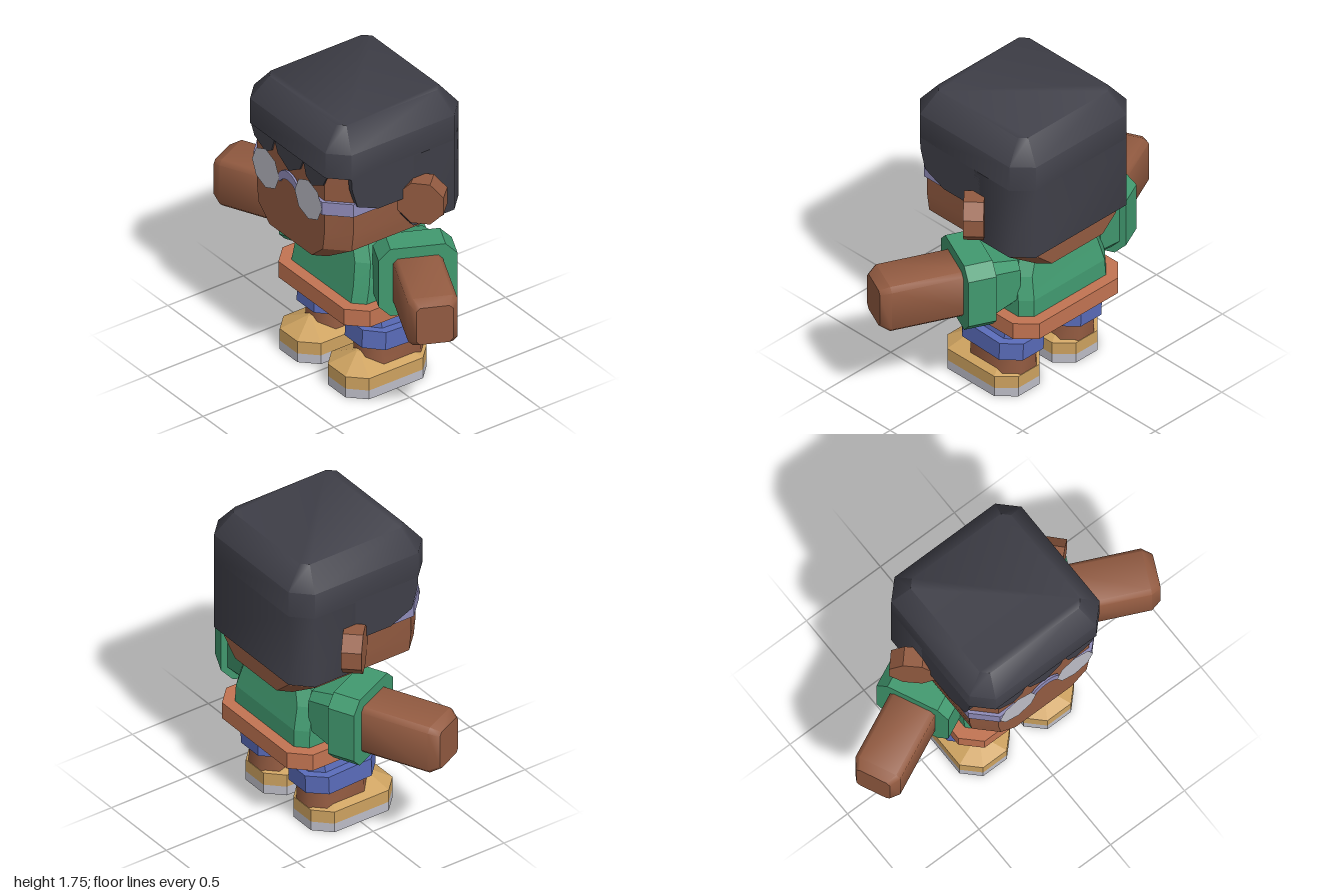
import * as THREE from 'three';
import { toCreasedNormals } from 'three/addons/utils/BufferGeometryUtils.js';

const material = (name, color, side = THREE.FrontSide) => {
  const m = new THREE.MeshStandardMaterial({ color, side });
  m.name = name;
  return m;
};

// Stack of chamfered rectangles: [y, halfWidth, zBack, zFront, chamferBack, chamferFront]
function loft(sections, crease = 0.1) {
  const pos = [], idx = [], n = 8;
  for (const [y, hx, zb, zf, cb, cf = cb] of sections) {
    pos.push(hx, y, zf - cf, hx - cf, y, zf, -hx + cf, y, zf, -hx, y, zf - cf);
    pos.push(-hx, y, zb + cb, -hx + cb, y, zb, hx - cb, y, zb, hx, y, zb + cb);
  }
  for (let s = 0; s < sections.length - 1; s++) {
    for (let i = 0; i < n; i++) {
      const a = s * n + i, a2 = s * n + (i + 1) % n;
      idx.push(a, a + n, a2, a + n, a2 + n, a2);
    }
  }
  const top = (sections.length - 1) * n;
  for (let i = 1; i < n - 1; i++) idx.push(0, i, i + 1, top, top + i + 1, top + i);
  const g = new THREE.BufferGeometry();
  g.setAttribute('position', new THREE.Float32BufferAttribute(pos, 3));
  g.setIndex(idx);
  return toCreasedNormals(g, crease);
}

const shapeOf = pts => new THREE.Shape(pts.map(p => new THREE.Vector2(...p)));
const extrude = (shape, depth) =>
  new THREE.ExtrudeGeometry(shape, { depth, bevelEnabled: false, curveSegments: 6 });

export function createModel() {
  const model = new THREE.Group();
  const skin = material('skin', 0x935b41);
  const hair = material('hair', 0x3f3f48);
  const green = material('green shirt', 0x41996f);
  const orange = material('shirt hem', 0xc27452);
  const blue = material('blue shorts', 0x5a6cba);
  const tan = material('tan shoe', 0xcda260);
  const grey = material('pale grey', 0xbcbcc6, THREE.DoubleSide);
  const lilac = material('lilac frame', 0x8f8bb8);

  const add = (name, geometry, mat, parent = model) => {
    const m = new THREE.Mesh(geometry, mat);
    m.name = name;
    parent.add(m);
    return m;
  };

  // Head
  add('head', loft([
    [0.9, 0.25, -0.41, 0.42, 0.06],
    [0.99, 0.4, -0.41, 0.42, 0.11],
    [1.1, 0.415, -0.41, 0.42, 0.11],
    [1.6, 0.415, -0.41, 0.42, 0.11]], 0.5), skin);

  // Hair: crown, back block, side panels and jagged fringe
  add('hairCrown', loft([
    [1.47, 0.44, -0.44, 0.44, 0.1],
    [1.625, 0.44, -0.44, 0.44, 0.1],
    [1.75, 0.34, -0.34, 0.34, 0.04]], 0.9), hair);
  add('hairBack', loft([
    [1.03, 0.44, -0.44, -0.07, 0.1, 0.001],
    [1.47, 0.44, -0.44, -0.07, 0.1, 0.001]], 0.9), hair);
  const sidePanel = shapeOf([[-0.34, 1.475], [-0.335, 1.4], [-0.3, 1.285], [-0.16, 1.225],
    [0, 1.225], [0, 1.12], [0.07, 1.03], [0.12, 1.03], [0.12, 1.475]]);
  for (const x of [0.41, -0.44]) {
    add('hairSide', extrude(sidePanel, 0.03).rotateY(Math.PI / 2).translate(x, 0, 0), hair);
  }
  const fringe = shapeOf([[-0.345, 1.475], [-0.31, 1.405], [-0.21, 1.355], [-0.155, 1.39],
    [-0.13, 1.47], [-0.1, 1.4], [0, 1.34], [0.1, 1.4], [0.13, 1.47], [0.155, 1.39],
    [0.21, 1.355], [0.31, 1.405], [0.345, 1.475]]);
  add('hairFringe', extrude(fringe, 0.009).translate(0, 0, 0.424), hair);

  // Glasses: bridge arch, then a temple band and lens on each side
  const arch = new THREE.Shape();
  arch.absarc(0, 1.235, 0.098, 0.15, Math.PI - 0.15, false);
  arch.absarc(0, 1.195, 0.085, Math.PI - 0.5, 0.5, true);
  add('glassesBridge', extrude(arch, 0.012).translate(0, 0, 0.427), lilac);
  for (const s of [1, -1]) {
    const band = shapeOf([[0.43, 0], [0.43, 0.32], [0.31, 0.44], [0.2, 0.44],
      [0.2, 0.41], [0.3, 0.41], [0.4, 0.31], [0.4, 0]].map(([x, z]) => [s * x, -z]));
    add('glassesBand', extrude(band, 0.08).rotateX(-Math.PI / 2).translate(0, 1.222, 0), lilac);
    add('lens', new THREE.CircleGeometry(0.122, 8).translate(s * 0.192, 1.262, 0.445), grey);
  }

  // Torso, neckline and hem
  add('torso', loft([
    [0.54, 0.33, -0.355, 0.222, 0.06],
    [0.66, 0.325, -0.35, 0.199, 0.06],
    [0.79, 0.305, -0.315, 0.175, 0.06],
    [0.92, 0.24, -0.285, 0.15, 0.06]]), green);
  const neckline = add('neckline',
    new THREE.ShapeGeometry(shapeOf([[0, 0], [0.165, 0.19], [-0.165, 0.19]])), skin);
  neckline.position.set(0, 0.72, 0.196);
  neckline.rotation.x = -0.187;
  add('hem', loft([[0.46, 0.395, -0.42, 0.285, 0.1], [0.56, 0.395, -0.42, 0.285, 0.1]]), orange);

  for (const s of [1, -1]) {
    // Ear: thick octagon turned outward
    const ear = add('ear', toCreasedNormals(
      new THREE.CylinderGeometry(0.135, 0.135, 0.11, 8, 1, false, Math.PI / 8), 0.1)
      .rotateX(Math.PI / 2), skin);
    ear.position.set(s * 0.473, 1.205, -0.105);
    ear.rotation.y = s * 0.75;

    // Arm: swept forward, built along local x
    const arm = new THREE.Group();
    arm.name = s > 0 ? 'leftArm' : 'rightArm';
    arm.position.set(s * 0.5, 0.755, -0.045);
    arm.rotation.y = s > 0 ? -0.436 : Math.PI + 0.436;
    model.add(arm);
    add('forearm', loft([
      [-0.05, 0.145, -0.135, 0.135, 0.025],
      [0.45, 0.145, -0.135, 0.135, 0.025],
      [0.505, 0.115, -0.1, 0.1, 0.02]], 0.9).rotateZ(-Math.PI / 2), skin, arm);
    add('sleeve', loft([
      [-0.115, 0.21, -0.215, 0.215, 0.065],
      [0.045, 0.21, -0.215, 0.215, 0.065]]).rotateZ(-Math.PI / 2), green, arm);
    add('shoulder', loft([
      [-0.28, 0.13, -0.13, 0.13, 0.04],
      [-0.11, 0.18, -0.18, 0.18, 0.05]]).rotateZ(-Math.PI / 2), green, arm);

    // Leg and shoe
    const leg = new THREE.Group();
    leg.name = s > 0 ? 'leftLeg' : 'rightLeg';
    leg.position.x = s * 0.217;
    model.add(leg);
    add('shin', loft([
      [0.1, 0.13, -0.26, 0.125, 0.07], [0.34, 0.115, -0.26, 0.125, 0.07]], 0.9), skin, leg);
    add('shorts', loft([
      [0.33, 0.128, -0.262, 0.128, 0.07], [0.48, 0.1, -0.262, 0.128, 0.06]]), blue, leg);
    const cuff = add('shortsCuff', loft([
      [-0.055, 0.168, -0.23, 0.23, 0.09], [0.055, 0.168, -0.23, 0.23, 0.09]]), blue, leg);
    cuff.position.set(0, 0.317, -0.067);
    cuff.rotation.x = -0.04;
    add('shoeUpper', loft([
      [0.055, 0.17, -0.262, 0.275, 0.09],
      [0.13, 0.17, -0.262, 0.275, 0.09],
      [0.205, 0.015, -0.1, 0.145, 0.01]]), tan, leg);
    add('sole', loft([
      [0, 0.17, -0.262, 0.275, 0.09], [0.055, 0.17, -0.262, 0.275, 0.09]]), grey, leg);
  }
  return model;
}
